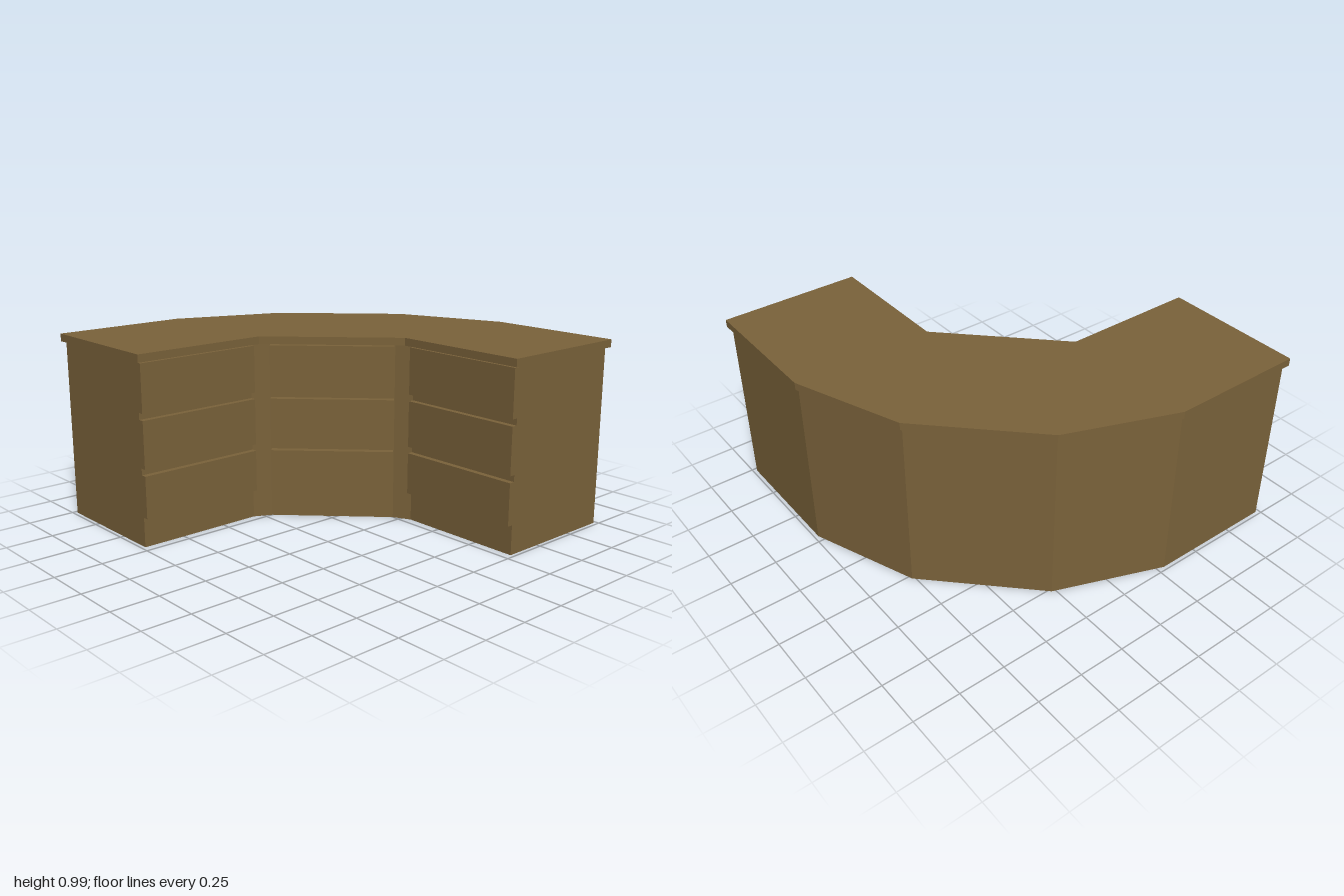
import * as THREE from 'three';

const wood = new THREE.MeshStandardMaterial({ color: 0x7a623a, flatShading: true });
wood.name = 'brown wood';

// Vertical slab from a plan outline of [x, z] points
function slab(name, outline, bottom, height) {
  const shape = new THREE.Shape(outline.map(([x, z]) => new THREE.Vector2(x, -z)));
  const geometry = new THREE.ExtrudeGeometry(shape, { depth: height, bevelEnabled: false });
  geometry.rotateX(-Math.PI / 2);
  geometry.translate(0, bottom, 0);
  const mesh = new THREE.Mesh(geometry, wood);
  mesh.name = name;
  return mesh;
}

// The plan is symmetric across the diagonal: add the reflected half in reverse order
const reflect = (points) => points.map(([x, z]) => [-z, -x]).reverse();

export function createModel() {
  const desk = new THREE.Group();
  desk.name = 'cornerDesk';

  // Worktop
  const topOuter = [[-1, -1], [-0.28, -1], [0.285, -0.785]];
  const topInner = [[0.25, 1], [0.25, 0.278]];
  desk.add(slab('worktop',
    [...topOuter, ...reflect(topOuter), ...topInner, ...reflect(topInner)], 0.945, 0.04));

  // Cabinet body, set back under the worktop, with chamfered inner corners
  const bodyOuter = [[-0.98, -0.98], [-0.29, -0.98], [0.27, -0.765]];
  const bodyInner = [[0.295, 0.98], [0.295, 0.3], [0.25, 0.21]];
  desk.add(slab('cabinetBody',
    [...bodyOuter, ...reflect(bodyOuter), ...bodyInner, ...reflect(bodyInner)], 0, 0.945));

  // Three banks of drawers along the inner side
  const depth = 0.04;
  const banks = [
    { name: 'rightDrawer', from: [-0.98, -0.265], to: [-0.3, -0.265] },
    { name: 'middleDrawer', from: [-0.235, -0.22], to: [0.22, 0.235] },
    { name: 'leftDrawer', from: [0.265, 0.3], to: [0.265, 0.98] },
  ];
  const rows = [[0.155, 0.375], [0.41, 0.655], [0.69, 0.937]];
  for (const { name, from, to } of banks) {
    const dx = to[0] - from[0], dz = to[1] - from[1];
    const bank = new THREE.Group();
    bank.name = name + 'Bank';
    bank.position.set((from[0] + to[0]) / 2, 0, (from[1] + to[1]) / 2);
    bank.rotation.y = -Math.atan2(dz, dx);
    rows.forEach(([low, high], i) => {
      const drawer = new THREE.Mesh(
        new THREE.BoxGeometry(Math.hypot(dx, dz), high - low, depth), wood);
      drawer.name = name + (i + 1);
      drawer.position.set(0, (low + high) / 2, -depth / 2);
      bank.add(drawer);
    });
    desk.add(bank);
  }
  return desk;
}
